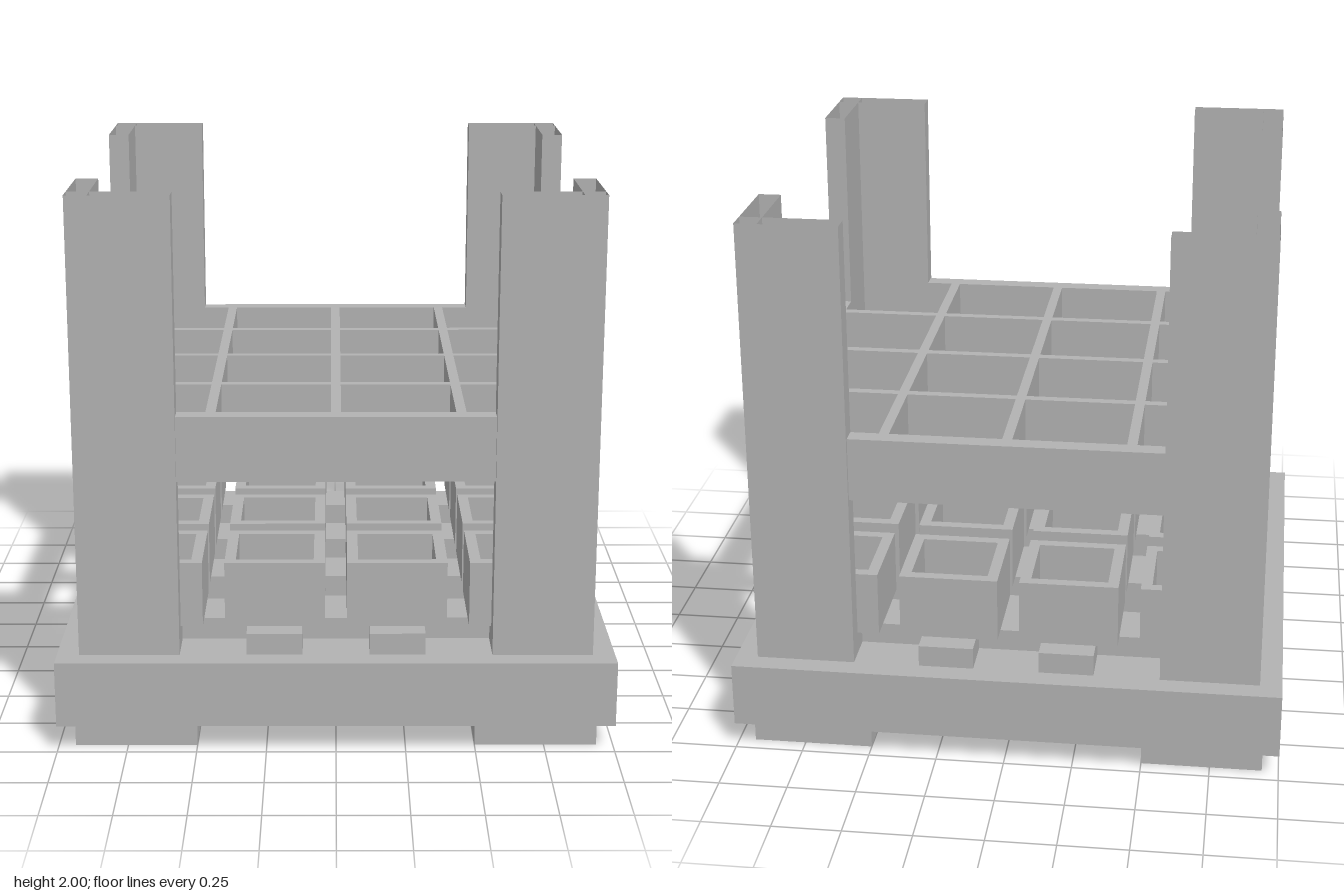
import * as THREE from 'three';

export function createModel() {
  const model = new THREE.Group();
  const grey = new THREE.MeshStandardMaterial({ color: 0xb2b2b2 });
  grey.name = 'grey';
  const greyOpen = new THREE.MeshStandardMaterial({ color: 0xb2b2b2, side: THREE.DoubleSide });
  greyOpen.name = 'grey open shell';

  const add = (name, geometry, x, y, z, material = grey) => {
    const mesh = new THREE.Mesh(geometry, material);
    mesh.name = name;
    mesh.position.set(x, y, z);
    model.add(mesh);
    return mesh;
  };
  const box = (name, w, h, d, x, y, z) => add(name, new THREE.BoxGeometry(w, h, d), x, y, z);

  // Axis-aligned rectangle outline
  const rect = (Type, x0, y0, x1, y1) => {
    const p = new Type();
    p.moveTo(x0, y0);
    p.lineTo(x1, y0);
    p.lineTo(x1, y1);
    p.lineTo(x0, y1);
    p.closePath();
    return p;
  };
  // Square plate with rectangular holes, extruded upwards
  const frame = (half, holes, height) => {
    const shape = rect(THREE.Shape, -half, -half, half, half);
    for (const h of holes) shape.holes.push(rect(THREE.Path, ...h));
    return new THREE.ExtrudeGeometry(shape, { depth: height, bevelEnabled: false }).rotateX(-Math.PI / 2);
  };
  // Box tube without top and bottom
  const openBox = (w, h, d) => {
    const g = new THREE.BoxGeometry(w, h, d);
    const index = Array.from(g.index.array);
    g.setIndex([...index.slice(0, 12), ...index.slice(24)]);
    g.clearGroups();
    return g;
  };

  const signs = [-1, 1];
  const cells = [-0.66, -0.22, 0.22, 0.66];

  // Base: square frame with a central cross
  const openings = [];
  for (const x of [-0.58, 0.08]) for (const z of [-0.58, 0.08]) openings.push([x, z, x + 0.5, z + 0.5]);
  add('base', frame(1, openings, 0.24), 0, 0.1, 0);

  // Feet and corner posts (two hollow planks forming an L)
  for (const sx of signs) for (const sz of signs) {
    box('foot', 0.44, 0.1, 0.44, sx * 0.72, 0.05, sz * 0.72);
    add('postPlankFront', openBox(0.36, 1.66, 0.08), sx * 0.74, 1.17, sz * 0.88, greyOpen);
    add('postPlankSide', openBox(0.08, 1.66, 0.36), sx * 0.88, 1.17, sz * 0.74, greyOpen);
  }

  // Crossing slats over the base
  for (const c of cells) {
    box('slatLengthwise', 0.2, 0.08, 1.834, c, 0.38, 0);
    box('slatCrosswise', 1.834, 0.08, 0.2, 0, 0.38, c);
  }

  // Bottomless square cups
  const cup = frame(0.18, [[-0.14, -0.14, 0.14, 0.14]], 0.24);
  for (const x of cells) for (const z of cells) add('cup', cup, x, 0.42, z);

  // Upper rail ring with dividers
  add('rail', frame(0.905, [[-0.84, -0.84, 0.84, 0.84]], 0.235), 0, 0.985, 0);
  for (const c of [-0.44, 0, 0.44]) {
    box('dividerLengthwise', 0.036, 0.235, 1.68, c, 1.1025, 0);
    box('dividerCrosswise', 1.68, 0.235, 0.036, 0, 1.1025, c);
  }

  return model;
}
